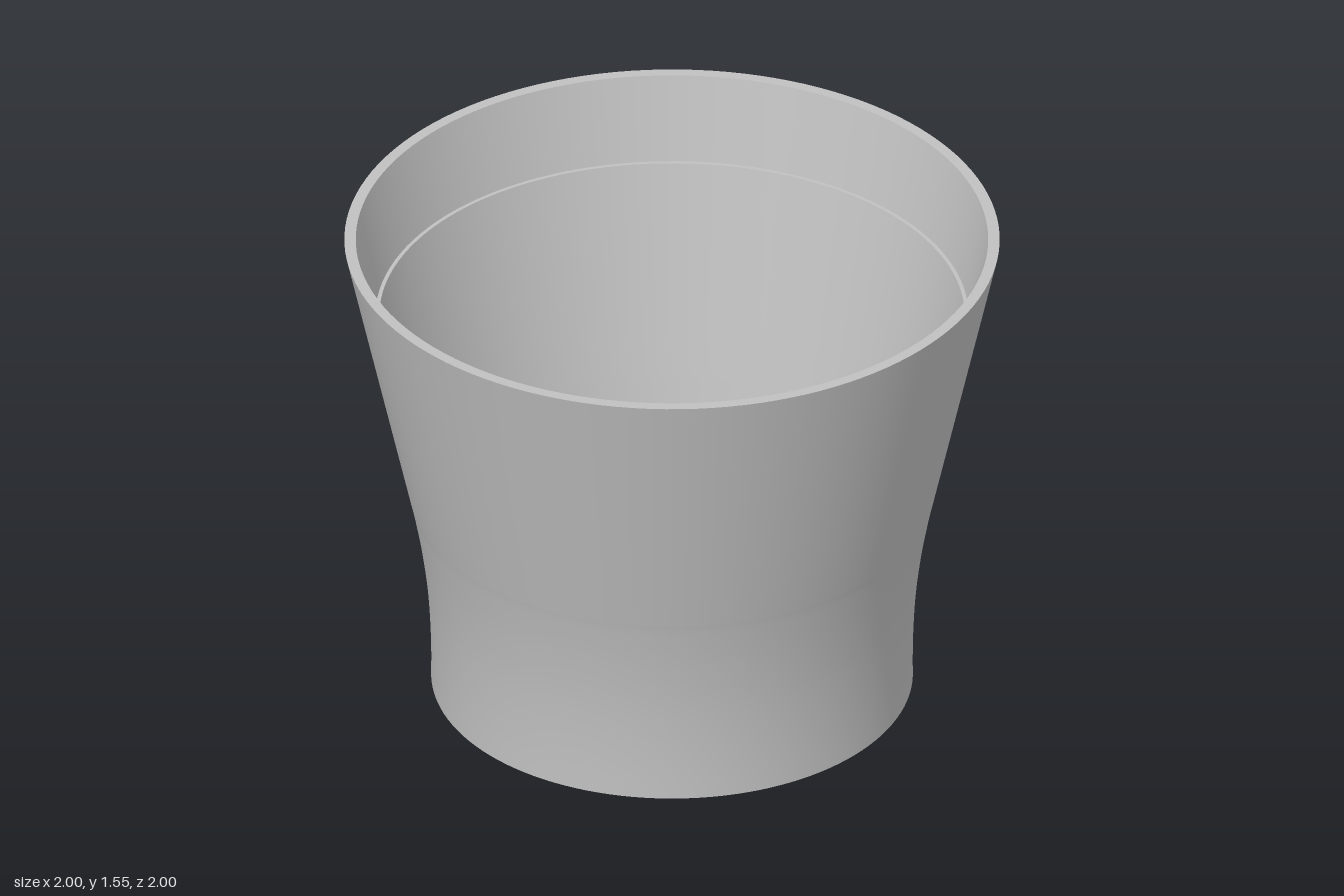
import * as THREE from 'three';

const SEGMENTS = 128;

// Smoothly interpolated stretch of a [radius, height] profile
function curve(points, divisions) {
  return new THREE.SplineCurve(points.map(([r, y]) => new THREE.Vector2(r, y))).getPoints(divisions);
}

export function createModel() {
  const model = new THREE.Group();
  model.name = 'flaredSleeve';
  const grey = new THREE.MeshStandardMaterial({ color: 0xc0c0c0 });
  grey.name = 'grey';

  // Each surface is its own lathe, so the edges between them stay sharp
  function surface(name, profile) {
    const points = profile.map((p) => (p.isVector2 ? p : new THREE.Vector2(p[0], p[1])));
    const mesh = new THREE.Mesh(new THREE.LatheGeometry(points, SEGMENTS), grey);
    mesh.name = name;
    model.add(mesh);
  }

  // Outside: straight foot easing into a straight flare
  surface('outerWall', [
    ...curve([[0.735, 0], [0.735, 0.1], [0.739, 0.22], [0.749, 0.35], [0.768, 0.49], [0.79, 0.61], [0.8, 0.655]], 24),
    [0.845, 0.856], [1, 1.55],
  ]);
  surface('topRim', [[1, 1.55], [0.965, 1.55]]);

  // Inside: socket, small ledge, then the funnel down to the neck
  surface('socketWall', [[0.965, 1.55], [0.905, 1.28]]);
  surface('socketLedge', [[0.905, 1.28], [0.893, 1.28]]);
  surface('innerFunnel', [
    [0.893, 1.28], [0.78, 0.77],
    ...curve([[0.747, 0.62], [0.722, 0.5], [0.698, 0.39], [0.67, 0.29], [0.643, 0.225], [0.615, 0.185]], 20),
  ]);

  // Underside: cone opening out from the neck to the bottom ring
  surface('lowerCone', [[0.615, 0.185], [0.69, 0.008]]);
  surface('bottomChamfer', [[0.69, 0.008], [0.7, 0]]);
  surface('bottomRing', [[0.7, 0], [0.735, 0]]);

  return model;
}
